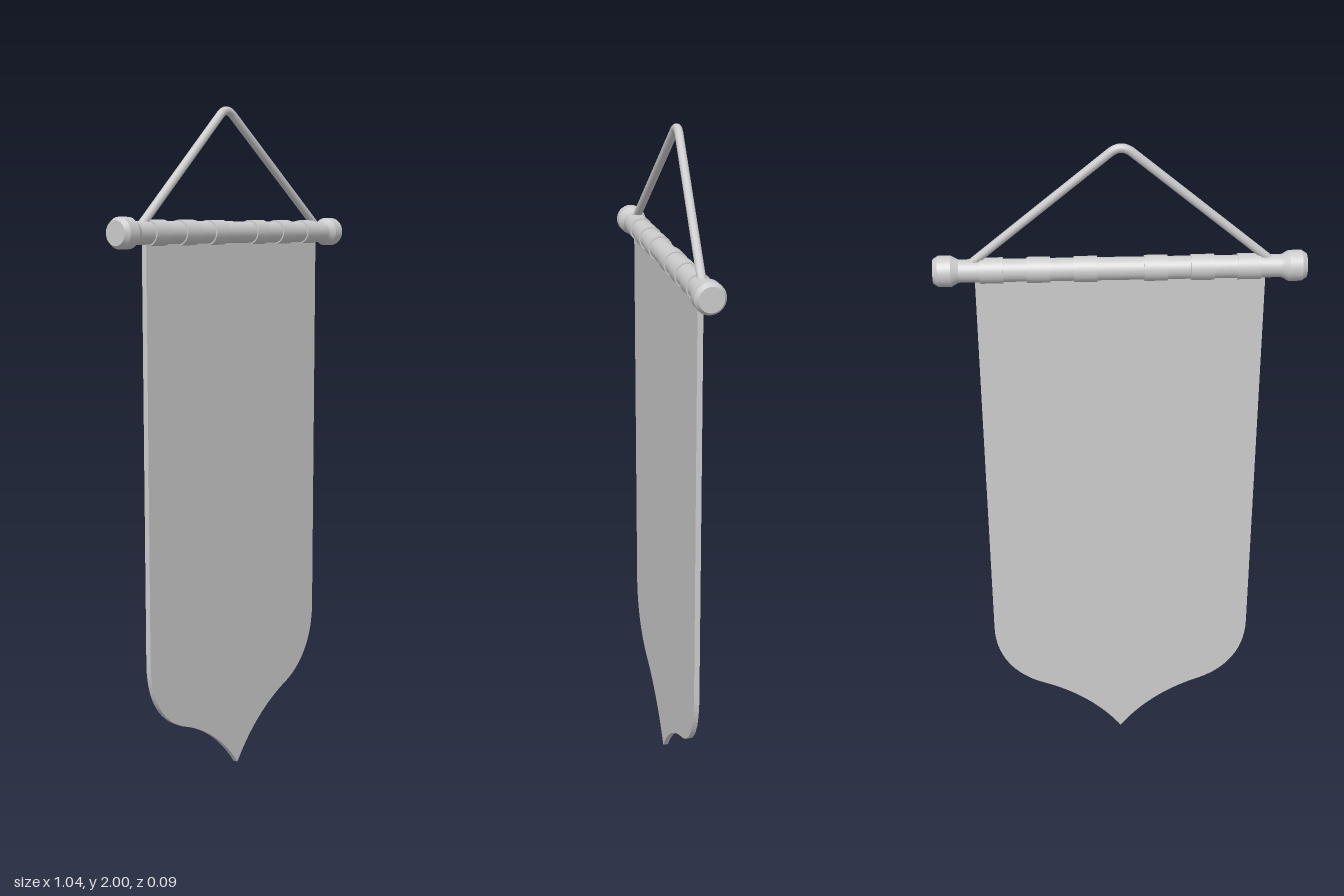
import * as THREE from 'three';

const ROD_Y = 1.635;
const material = new THREE.MeshStandardMaterial({ color: 0xcccccc });

export function createModel() {
  const group = new THREE.Group();
  const add = (name, geometry, parent = group) => {
    const mesh = new THREE.Mesh(geometry, material);
    mesh.name = name;
    parent.add(mesh);
    return mesh;
  };

  // Cloth panel with rounded shoulders and a pointed lower tip
  const outline = new THREE.Shape();
  outline.moveTo(-0.405, ROD_Y);
  outline.lineTo(-0.405, 0.42);
  outline.bezierCurveTo(-0.405, 0.28, -0.32, 0.215, -0.25, 0.19);
  outline.bezierCurveTo(-0.13, 0.145, -0.05, 0.07, 0, 0);
  outline.bezierCurveTo(0.05, 0.07, 0.13, 0.145, 0.25, 0.19);
  outline.bezierCurveTo(0.32, 0.215, 0.405, 0.28, 0.405, 0.42);
  outline.lineTo(0.405, ROD_Y);
  const cloth = new THREE.ExtrudeGeometry(outline, { depth: 0.016, bevelEnabled: false, curveSegments: 16 });
  cloth.translate(0, 0, -0.008);
  add('cloth', cloth);

  // Horizontal rod assembly, built along y and laid along x
  const rod = new THREE.Group();
  rod.name = 'rodAssembly';
  rod.position.y = ROD_Y;
  rod.rotation.z = -Math.PI / 2;
  group.add(rod);
  add('rod', new THREE.CylinderGeometry(0.032, 0.032, 0.94, 32), rod);

  // Cloth loops around the rod
  for (const x of [0.098, 0.228, 0.358]) {
    for (const side of [-1, 1]) {
      add('clothLoop', new THREE.CylinderGeometry(0.036, 0.036, 0.065, 32), rod).position.y = side * x;
    }
  }

  // Turned knobs: flare, band and chamfered end, with doubled points for crisp edges
  const knobProfile = [
    [0.031, 0.445], [0.034, 0.453], [0.043, 0.469], [0.043, 0.469], [0.043, 0.505],
    [0.043, 0.505], [0.034, 0.519], [0.034, 0.519], [0, 0.519],
  ].map(([r, y]) => new THREE.Vector2(r, y));
  for (const side of [-1, 1]) {
    const knob = add('knob', new THREE.LatheGeometry(knobProfile, 32), rod);
    if (side < 0) knob.rotation.z = Math.PI;
  }

  // Hanging cord: two straight runs joined by a small bend, leaning back
  const v = (x, y, z) => new THREE.Vector3(x, y, z);
  const path = new THREE.CurvePath();
  const footL = v(-0.422, 1.65, 0), footR = v(0.422, 1.65, 0);
  const bendL = v(-0.03, 1.972, -0.031), bendR = v(0.03, 1.972, -0.031);
  path.add(new THREE.LineCurve3(footL, bendL));
  path.add(new THREE.QuadraticBezierCurve3(bendL, v(0, 1.997, -0.033), bendR));
  path.add(new THREE.LineCurve3(bendR, footR));
  add('hangingCord', new THREE.TubeGeometry(path, 120, 0.0125, 12, false));

  // Rounded cord ends
  for (const foot of [footL, footR]) {
    add('cordEnd', new THREE.SphereGeometry(0.0125, 12, 8)).position.copy(foot);
  }
  return group;
}
